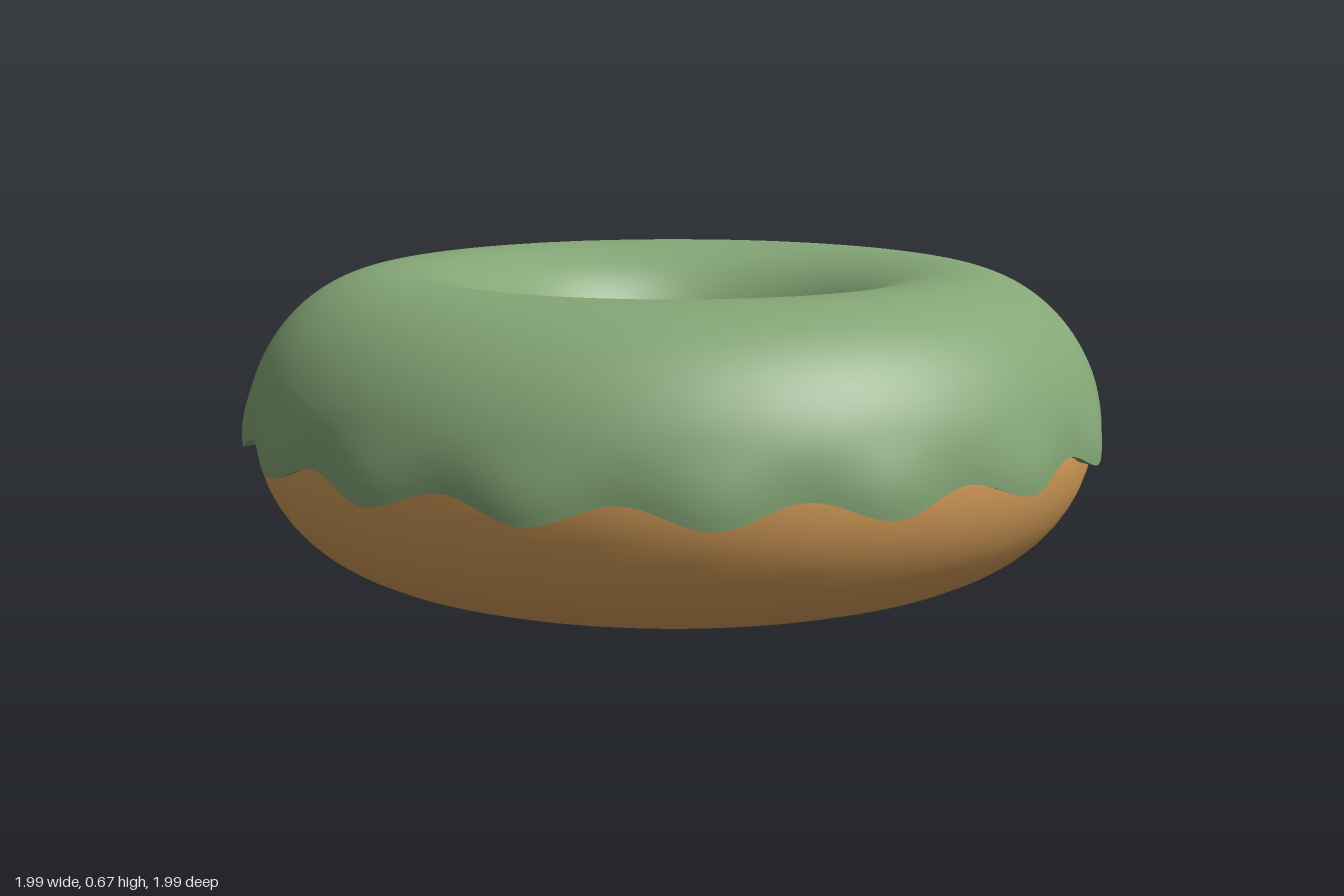
import * as THREE from 'three';

const RING = 0.648, TUBE = 0.323, LOBES = 17;
const PHASE = THREE.MathUtils.degToRad(5.5);
const rad = THREE.MathUtils.degToRad;
const { lerp, smoothstep } = THREE.MathUtils;

// Closed sweep around y: point(phi, t) gives [radius, height]
function sweep(point, around, along) {
  const pos = [], index = [];
  for (let i = 0; i < around; i++) {
    const phi = (i / around) * Math.PI * 2;
    for (let j = 0; j <= along; j++) {
      const [r, y] = point(phi, j / along);
      pos.push(r * Math.sin(phi), y, r * Math.cos(phi));
    }
  }
  const row = along + 1;
  for (let i = 0; i < around; i++) {
    for (let j = 0; j < along; j++) {
      const a = i * row + j, b = ((i + 1) % around) * row + j;
      index.push(a, b, b + 1, a, b + 1, a + 1);
    }
  }
  const geo = new THREE.BufferGeometry();
  geo.setAttribute('position', new THREE.Float32BufferAttribute(pos, 3));
  geo.setIndex(index);
  geo.computeVertexNormals();
  return geo;
}

// Point on the tube section, lifted off the dough
const onTube = (theta, lift) => [
  RING + (TUBE + lift) * Math.cos(theta),
  TUBE + (TUBE + lift) * Math.sin(theta),
];

// 1 at the tip of a drip, 0 in the notch between two
const drip = (phi) => 0.5 + 0.5 * Math.cos(LOBES * (phi - PHASE));
const edgeAngle = (phi) => rad(lerp(0, -7.5, drip(phi)));
const edgeLift = (phi) => lerp(0.012, 0.031, drip(phi));

// Icing thickness: flared drips, full on top, thinning into the hole
function icingPoint(phi, t) {
  const theta = lerp(edgeAngle(phi), rad(158), t);
  const deg = THREE.MathUtils.radToDeg(theta);
  let lift = lerp(edgeLift(phi), 0.015, smoothstep(deg, -8, 20));
  lift = lerp(lift, 0.024, smoothstep(deg, 25, 80));
  lift = lerp(lift, -0.002, smoothstep(deg, 115, 160));
  return onTube(theta, lift);
}

export function createModel() {
  const model = new THREE.Group();
  const add = (name, geo, color) => {
    const mesh = new THREE.Mesh(geo, new THREE.MeshStandardMaterial({ color }));
    mesh.name = name;
    model.add(mesh);
    return mesh;
  };

  // Dough ring
  const dough = new THREE.TorusGeometry(RING, TUBE, 48, 128);
  dough.rotateX(Math.PI / 2).translate(0, TUBE, 0);
  add('dough', dough, 0xd9a05b);

  // Icing with a wavy outer edge
  add('icing', sweep(icingPoint, 340, 48), 0x84a676);

  // Underside of the icing edge, back to the dough
  add('icingLip', sweep((phi, t) =>
    onTube(edgeAngle(phi), lerp(-0.01, edgeLift(phi), t)), 340, 2), 0x84a676);

  return model;
}
